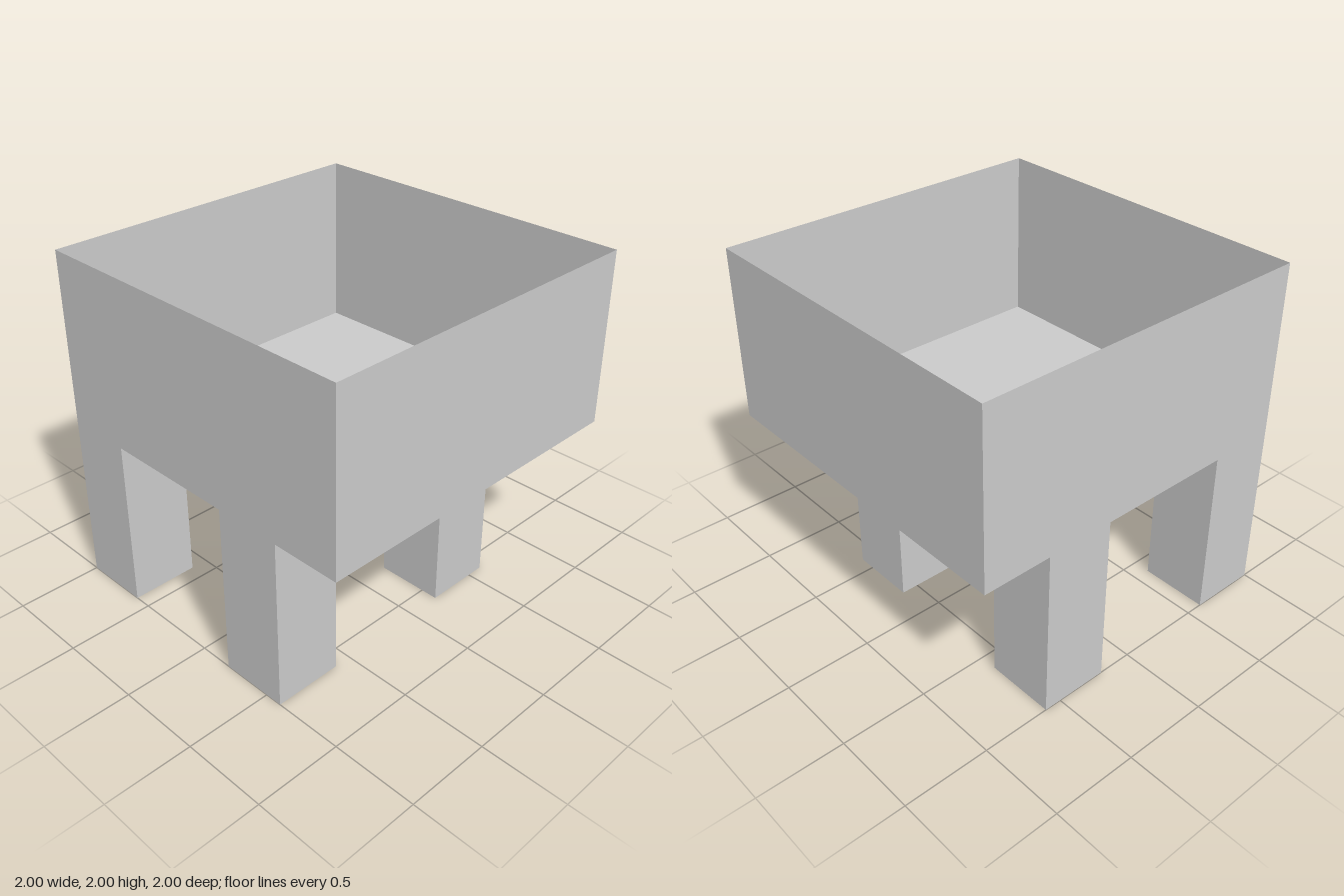
import * as THREE from 'three';

const material = new THREE.MeshStandardMaterial({
  color: 0xcccccc, flatShading: true, side: THREE.DoubleSide,
});

// Thin-walled box without its top face, standing on y = bottom
function openBox(name, size, height, x, bottom, z) {
  const geometry = new THREE.BoxGeometry(size, height, size);
  const index = Array.from(geometry.index.array);
  index.splice(12, 6); // the +y face
  geometry.setIndex(index);
  geometry.clearGroups();
  const mesh = new THREE.Mesh(geometry, material);
  mesh.name = name;
  mesh.position.set(x, bottom + height / 2, z);
  return mesh;
}

export function createModel() {
  const group = new THREE.Group();
  group.name = 'openBoxOnLegs';

  // Open tub with thin walls and floor
  group.add(openBox('tub', 2, 1, 0, 1, 0));

  // Four square legs, set toward the back right corner
  for (const [side, x] of [['Right', -0.8], ['Left', 0.4]]) {
    for (const [end, z] of [['back', -0.8], ['front', 0.4]]) {
      group.add(openBox(`${end}${side}Leg`, 0.4, 1, x, 0, z));
    }
  }
  return group;
}
